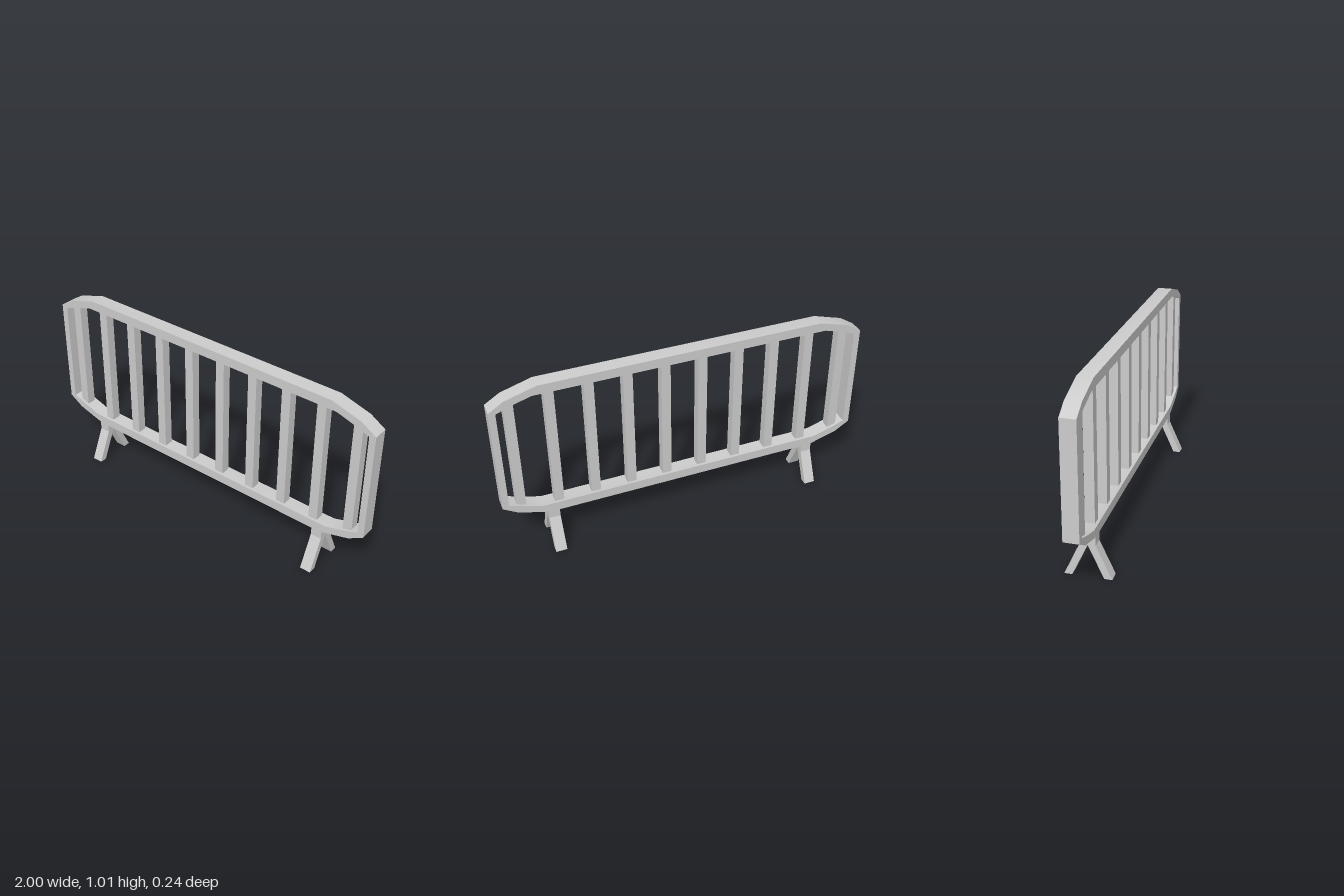
import * as THREE from 'three';
import { toCreasedNormals } from 'three/addons/utils/BufferGeometryUtils.js';

const MID_Y = 0.615; // height of the frame's centre

// Mirror one upper corner (x, height above centre) into a closed outline
function outline(corner) {
  const back = [...corner].reverse();
  const points = [
    ...corner.map(([x, y]) => [x, y]),
    ...back.map(([x, y]) => [-x, y]),
    ...corner.map(([x, y]) => [-x, -y]),
    ...back.map(([x, y]) => [x, -y]),
  ];
  return points.map(([x, y]) => new THREE.Vector2(x, MID_Y + y));
}

function extrude(shape, depth) {
  const geometry = new THREE.ExtrudeGeometry(shape, { depth, bevelEnabled: false });
  geometry.translate(0, 0, -depth / 2);
  return geometry;
}

export function createModel() {
  const group = new THREE.Group();
  const material = new THREE.MeshStandardMaterial({ color: 0xcccccc });
  const add = (name, geometry, x = 0, y = 0, z = 0) => {
    const mesh = new THREE.Mesh(geometry, material);
    mesh.name = name;
    mesh.position.set(x, y, z);
    group.add(mesh);
    return mesh;
  };

  // Closed frame with chamfered corners, softly shaded along the bends
  const frame = new THREE.Shape(outline([[1, 0.3], [0.92, 0.35], [0.757, 0.398]]));
  frame.holes.push(new THREE.Path(outline([[0.965, 0.287], [0.9, 0.312], [0.787, 0.347]])));
  add('frame', toCreasedNormals(extrude(frame, 0.08), Math.PI / 6));

  // Upright bars, the outermost pair shorter to meet the sloping corners
  for (let i = 0; i < 10; i++) {
    const x = -0.9 + i * 0.2;
    const height = i === 0 || i === 9 ? 0.65 : 0.73;
    add('bar', new THREE.BoxGeometry(0.05, height, 0.05), x, MID_Y, 0);
  }

  // Forked feet under each end
  const fork = new THREE.Shape([
    [0.04, 0.23], [-0.04, 0.23], [-0.04, 0.175], [-0.12, 0],
    [-0.08, 0], [0, 0.175], [0.08, 0], [0.12, 0], [0.04, 0.175],
  ].map(([z, y]) => new THREE.Vector2(z, y)));
  const footGeometry = extrude(fork, 0.06);
  footGeometry.rotateY(Math.PI / 2);
  add('rightFoot', footGeometry, -0.738);
  add('leftFoot', footGeometry, 0.738);

  return group;
}
